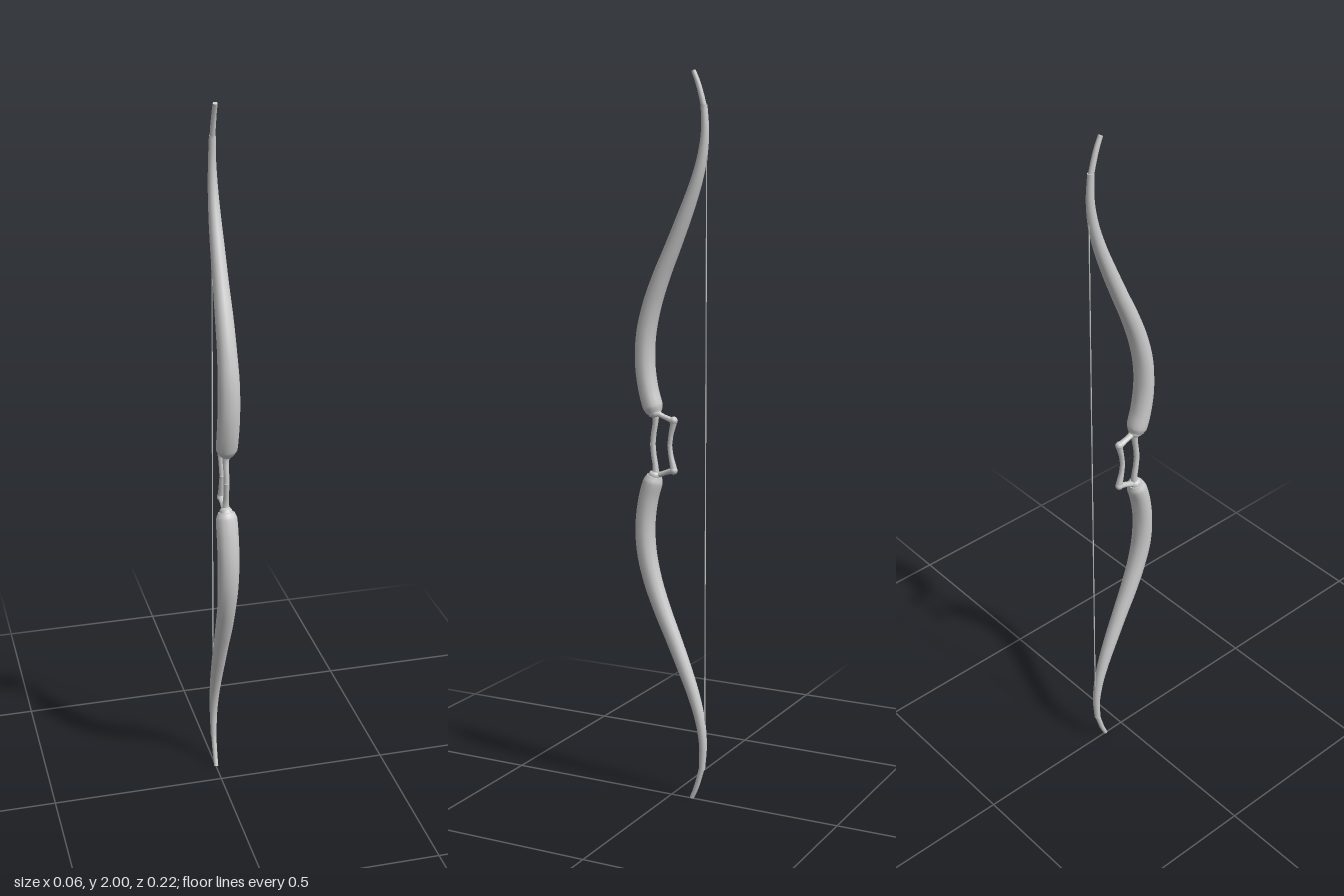
import * as THREE from 'three';

const material = new THREE.MeshStandardMaterial({ color: 0xcccccc });

function mesh(name, geometry) {
  const m = new THREE.Mesh(geometry, material);
  m.name = name;
  return m;
}

// Sweep an ellipse along stations [y, z, halfWidthX, halfThickness] in the plane x = 0.
function sweep(stations, steps, sides) {
  const path = new THREE.CatmullRomCurve3(stations.map(([y, z]) => new THREE.Vector3(0, y, z)));
  const radii = new THREE.CatmullRomCurve3(stations.map(([, , a, b], i) => new THREE.Vector3(a, b, i * 0.01)));
  const pos = [], index = [];
  const ring = (i) => {
    const t = i / steps;
    const p = path.getPoint(t), d = path.getTangent(t), r = radii.getPoint(t);
    for (let j = 0; j < sides; j++) {
      const a = (j / sides) * Math.PI * 2;
      const u = Math.cos(a) * r.x, v = Math.sin(a) * r.y;
      pos.push(u, p.y - d.z * v, p.z + d.y * v);
    }
  };
  for (let i = 0; i <= steps; i++) ring(i);
  for (let i = 0; i < steps; i++) {
    for (let j = 0; j < sides; j++) {
      const a = i * sides + j, b = i * sides + (j + 1) % sides;
      index.push(a, a + sides, b, b, a + sides, b + sides);
    }
  }
  // separate end rings keep the cap edges sharp
  for (const [i, end] of [[0, false], [steps, true]]) {
    const start = pos.length / 3;
    ring(i);
    for (let j = 1; j < sides - 1; j++) {
      if (end) index.push(start, start + j + 1, start + j);
      else index.push(start, start + j, start + j + 1);
    }
  }
  const g = new THREE.BufferGeometry();
  g.setAttribute('position', new THREE.Float32BufferAttribute(pos, 3));
  g.setIndex(index);
  g.computeVertexNormals();
  return g;
}

// Half of the bow, measured upward from the middle of the grip.
function createHalf() {
  const half = new THREE.Group();

  // Recurved limb, thick near the grip and slender at the end
  half.add(mesh('limb', sweep([
    [0.088, 0.053, 0.023, 0.021],
    [0.105, 0.058, 0.030, 0.027],
    [0.15, 0.071, 0.031, 0.027],
    [0.22, 0.081, 0.031, 0.027],
    [0.30, 0.078, 0.030, 0.027],
    [0.38, 0.060, 0.027, 0.026],
    [0.46, 0.031, 0.025, 0.024],
    [0.54, -0.004, 0.022, 0.022],
    [0.62, -0.038, 0.020, 0.020],
    [0.70, -0.069, 0.017, 0.017],
    [0.77, -0.089, 0.014, 0.014],
    [0.84, -0.098, 0.011, 0.011],
    [0.91, -0.095, 0.009, 0.009],
  ], 60, 12)));

  // Slim tip bending forward beyond the string
  half.add(mesh('tip', sweep([
    [0.90, -0.096, 0.0075, 0.008],
    [0.935, -0.087, 0.0075, 0.0075],
    [0.97, -0.076, 0.007, 0.007],
    [0.998, -0.064, 0.0065, 0.006],
  ], 12, 10)));

  // Collar joining limb and grip
  half.add(mesh('collar', sweep([
    [0.076, 0.047, 0.011, 0.011],
    [0.082, 0.049, 0.017, 0.017],
    [0.092, 0.055, 0.019, 0.019],
  ], 6, 12)));

  // Open grip: front bar, rear bar and the slanting bridge between them
  half.add(mesh('frontBar', sweep([
    [0, 0.058, 0.008, 0.008],
    [0.03, 0.055, 0.008, 0.008],
    [0.06, 0.050, 0.009, 0.008],
    [0.085, 0.049, 0.011, 0.010],
  ], 10, 8)));
  half.add(mesh('rearBar', sweep([
    [0, 0.006, 0.007, 0.007],
    [0.03, 0.002, 0.008, 0.007],
    [0.055, -0.004, 0.009, 0.009],
    [0.070, -0.007, 0.011, 0.010],
  ], 10, 8)));
  half.add(mesh('gripBridge', sweep([
    [0.068, -0.006, 0.011, 0.009],
    [0.077, 0.020, 0.009, 0.007],
    [0.087, 0.046, 0.011, 0.008],
  ], 8, 8)));
  const knuckle = mesh('gripKnuckle', new THREE.SphereGeometry(0.0115, 10, 8));
  knuckle.position.set(0, 0.069, -0.006);
  half.add(knuckle);
  return half;
}

export function createModel() {
  const bow = new THREE.Group();
  bow.name = 'bow';

  const upper = createHalf();
  upper.name = 'upperHalf';
  const lower = createHalf();
  lower.name = 'lowerHalf';
  lower.rotation.z = Math.PI;
  upper.position.y = lower.position.y = 1;
  bow.add(upper, lower);

  // Straight string between the limb ends
  const string = mesh('string', new THREE.CylinderGeometry(0.0018, 0.0018, 1.76, 6));
  string.position.set(0, 1, -0.103);
  bow.add(string);
  return bow;
}
